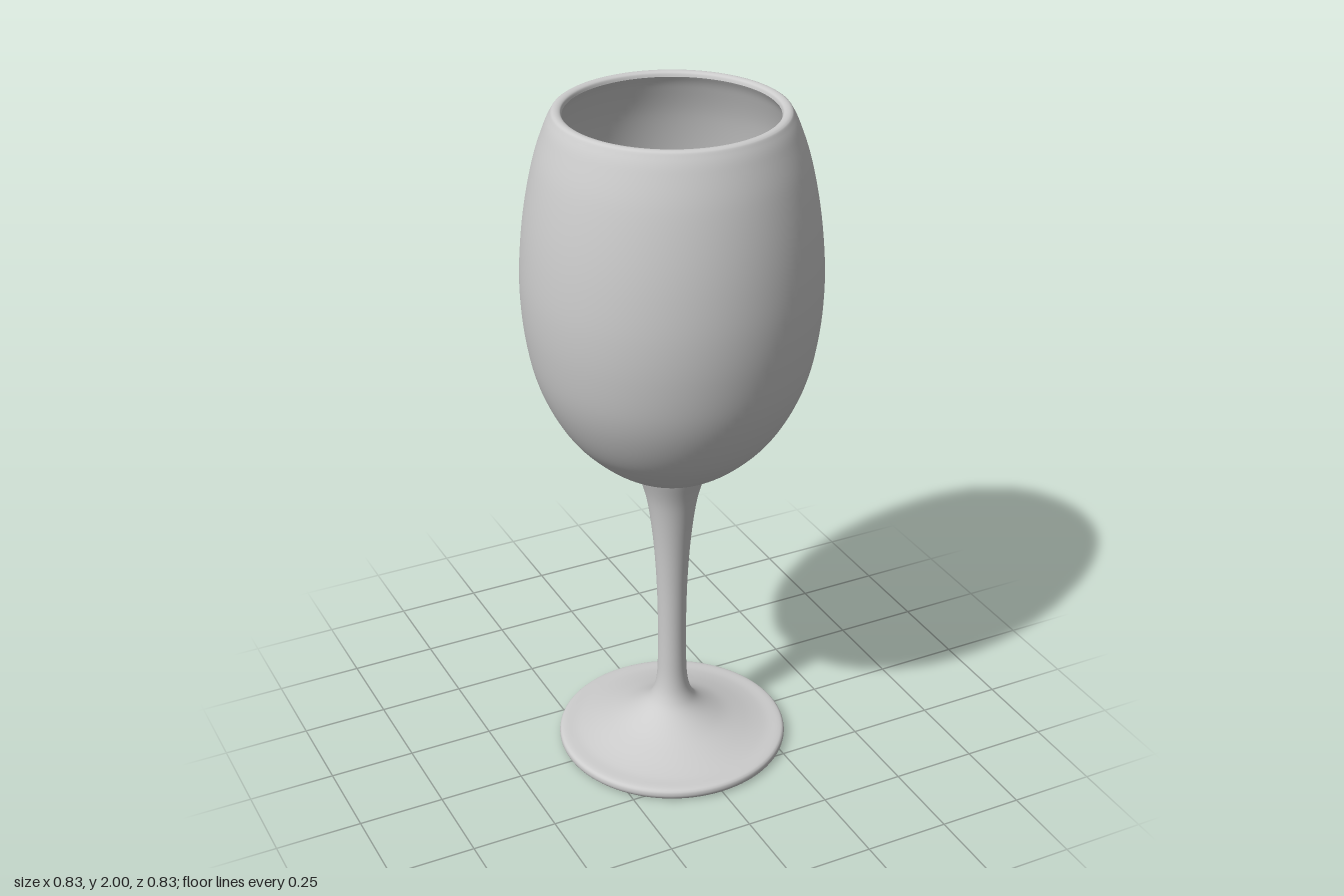
import * as THREE from 'three';

const SEGMENTS = 96;

// Smooth curve through [radius, height] points
const smooth = (points, samples) =>
  new THREE.SplineCurve(points.map(([r, y]) => new THREE.Vector2(r, y))).getPoints(samples);

export function createModel() {
  const group = new THREE.Group();
  group.name = 'wineGlass';
  const glass = new THREE.MeshStandardMaterial({ color: 0xcccccc });
  glass.name = 'paleGrey';

  const addLathe = (name, profile) => {
    const mesh = new THREE.Mesh(new THREE.LatheGeometry(profile, SEGMENTS), glass);
    mesh.name = name;
    group.add(mesh);
  };

  // Flat underside of the foot
  addLathe('footUnderside', [new THREE.Vector2(0, 0), new THREE.Vector2(0.33, 0)]);

  // Rounded foot edge, sweeping up into the stem and flaring under the bowl
  addLathe('footAndStem', smooth([
    [0.33, 0], [0.338, 0.008], [0.341, 0.018], [0.338, 0.029], [0.325, 0.035],
    [0.28, 0.039], [0.22, 0.054], [0.15, 0.08], [0.09, 0.117], [0.06, 0.155],
    [0.046, 0.21], [0.042, 0.3], [0.042, 0.42], [0.046, 0.56], [0.056, 0.7],
    [0.074, 0.83], [0.1, 0.917],
  ], 96));

  // Outer wall of the bowl and its rounded rim
  addLathe('bowlOutside', smooth([
    [0.1, 0.917], [0.165, 0.95], [0.23, 1.0], [0.295, 1.07], [0.348, 1.16],
    [0.385, 1.26], [0.407, 1.38], [0.415, 1.5], [0.41, 1.62], [0.395, 1.74],
    [0.37, 1.86], [0.34, 1.95], [0.322, 1.988], [0.314, 1.998], [0.303, 2.0],
    [0.293, 1.996], [0.289, 1.986],
  ], 128));

  // Inner wall of the bowl, from the rim down to the centre
  addLathe('bowlInside', smooth([
    [0.289, 1.986], [0.308, 1.95], [0.34, 1.86], [0.365, 1.74], [0.38, 1.62],
    [0.385, 1.5], [0.377, 1.38], [0.356, 1.27], [0.321, 1.17], [0.272, 1.09],
    [0.21, 1.025], [0.14, 0.978], [0.07, 0.952], [0, 0.945],
  ], 96));

  return group;
}
